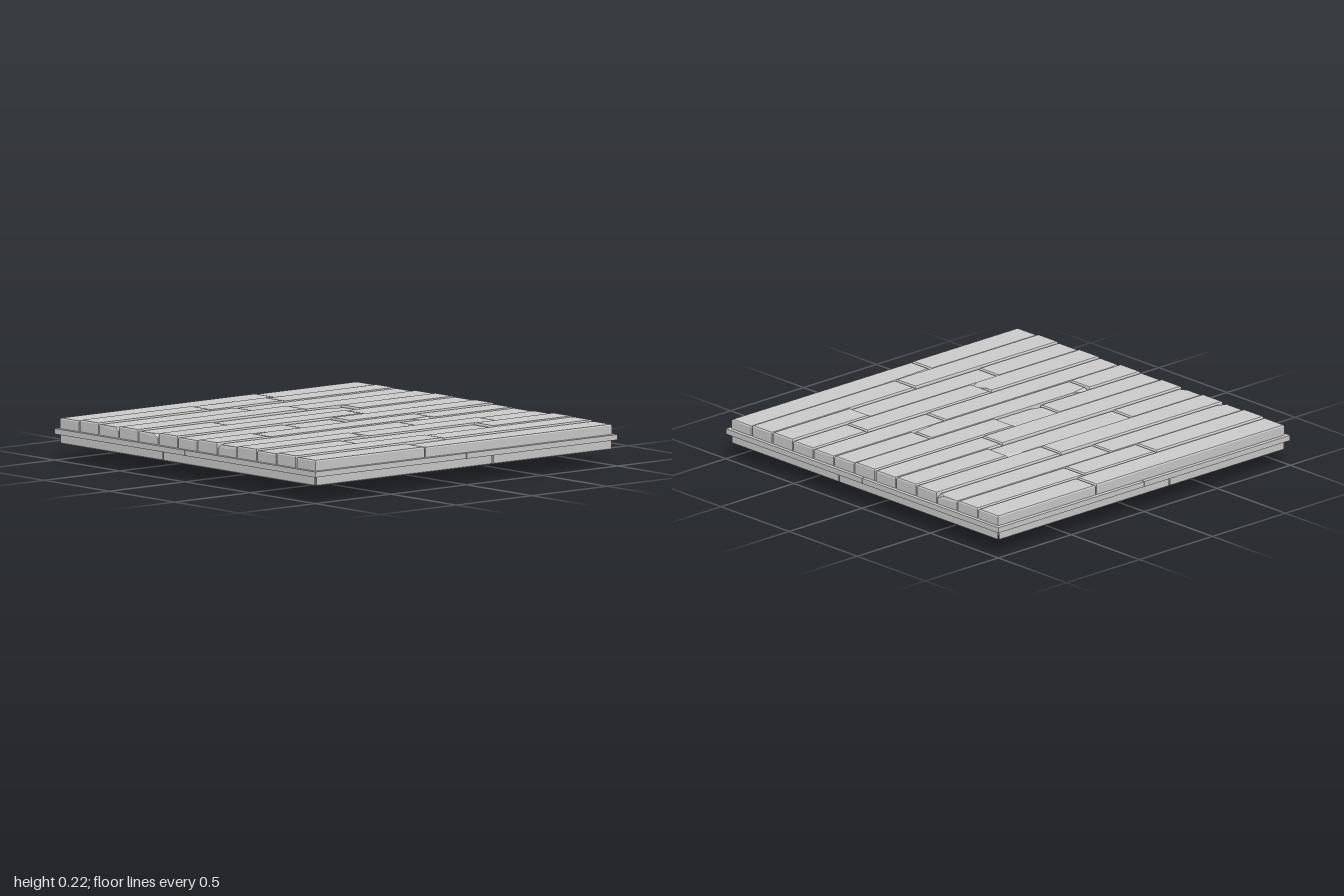
import * as THREE from 'three';

const material = new THREE.MeshStandardMaterial({ color: 0xcccccc, flatShading: true });

// Closed solid from stacked rings (lowest first, counterclockwise seen from above)
function loft(rings) {
  const pos = [];
  const tri = (a, b, c) => pos.push(...a, ...b, ...c);
  const n = rings[0].length;
  for (let r = 0; r + 1 < rings.length; r++) {
    for (let i = 0; i < n; i++) {
      const j = (i + 1) % n, lo = rings[r], hi = rings[r + 1];
      tri(lo[i], lo[j], hi[j]);
      tri(lo[i], hi[j], hi[i]);
    }
  }
  const bottom = rings[0], top = rings[rings.length - 1];
  for (let i = 1; i + 1 < n; i++) {
    tri(bottom[0], bottom[i + 1], bottom[i]);
    tri(top[0], top[i], top[i + 1]);
  }
  const g = new THREE.BufferGeometry();
  g.setAttribute('position', new THREE.Float32BufferAttribute(pos, 3));
  g.computeVertexNormals();
  return g;
}

function add(parent, name, geometry, x = 0, y = 0, z = 0) {
  const mesh = new THREE.Mesh(geometry, material);
  mesh.name = name;
  mesh.position.set(x, y, z);
  parent.add(mesh);
  return mesh;
}

// Floor plank with a bevelled top; chips = { cornerIndex: [along x, along z] }
function floorPlank(x0, x1, z0, z1, y0, y1, chips = {}) {
  const corners = [[x0, z1, 1, -1], [x1, z1, -1, -1], [x1, z0, -1, 1], [x0, z0, 1, 1]];
  const base = [], shoulder = [], top = [];
  const bevel = 0.004;
  corners.forEach(([x, z, sx, sz], i) => {
    const [cx, cz] = chips[i] || [0, 0];
    const alongX = [x + sx * (bevel + cx), y1, z + sz * bevel];
    const alongZ = [x + sx * bevel, y1, z + sz * (bevel + cz)];
    top.push(...(i % 2 ? [alongZ, alongX].reverse() : [alongZ, alongX]));
    const drop = chips[i] ? 0.02 : 0.006;
    for (let k = 0; k < 2; k++) {
      base.push([x, y0, z]);
      shoulder.push([x, y1 - drop, z]);
    }
  });
  return loft([base, shoulder, top]);
}

// Plank of the underside, facing +z, between two distances from the centre
function undersidePlank(za, zb, ya, yb, left, right, yTop) {
  const endX = (end, z, inset) => (end === null ? z - 0.005 - inset : end - 0.004 - inset);
  const ring = (inset, dy, flat) => {
    const a = za + inset, b = zb - inset;
    const xl = z => -endX(left === null ? null : -left, z, inset);
    const xr = z => endX(right, z, inset);
    const y = (v) => (flat ? yTop : v + dy);
    return [[xl(b), y(yb), b], [xr(b), y(yb), b], [xr(a), y(ya), a], [xl(a), y(ya), a]];
  };
  return loft([ring(0.005, 0, false), ring(0, 0.006, false), ring(0, 0, true)]);
}

export function createModel() {
  const model = new THREE.Group();
  model.name = 'plankFloorTile';

  // Core seen through the gaps, and the panel in the underside recess
  add(model, 'core', new THREE.BoxGeometry(1.93, 0.075, 1.93), 0, 0.1375);
  add(model, 'recessPanel', new THREE.BoxGeometry(0.64, 0.03, 0.64), 0, 0.095);

  // Thin rim around the middle, jointed halfway along each side
  const rim = new THREE.Group();
  rim.name = 'rim';
  model.add(rim);
  for (const sx of [-1, 1]) for (const sz of [-1, 1]) {
    add(rim, 'rimQuarter', new THREE.BoxGeometry(0.998, 0.028, 0.998), sx * 0.501, 0.146, sz * 0.501);
  }

  // Floor: rows of planks with staggered joints, back to front
  const floor = new THREE.Group();
  floor.name = 'floorPlanks';
  model.add(floor);
  const joints = [[0.31], [-0.24, 0.25], [-0.08], [0.13], [-0.5, 0.35], [0.25], [-0.285, 0.025],
    [-0.63, 0.45], [0.21], [-0.24, 0.61], [-0.43, 0.45], [0], [-0.255]];
  const chips = {
    '2,0': { 0: [0.05, 0.02] },
    '2,1': { 1: [0.02, 0.04] },
    '4,0': { 0: [0.02, 0.04] },
    '4,1': { 2: [0.1, 0.03] },
    '6,1': { 0: [0.07, 0.02] },
    '7,1': { 3: [0.1, 0.02], 1: [0.14, 0.02] },
    '8,0': { 3: [0.04, 0.02] },
    '9,0': { 1: [0.025, 0.1] },
    '12,1': { 3: [0.3, 0.015] },
  };
  const half = 0.982, pitch = (2 * half) / joints.length;
  joints.forEach((cuts, row) => {
    const z0 = -half + row * pitch;
    const ends = [-half - 0.002, ...cuts, half + 0.002];
    for (let i = 0; i + 1 < ends.length; i++) {
      const height = 0.211 + 0.003 * ((row * 2 + i * 3 + 1) % 4);
      add(floor, 'floorPlank', floorPlank(ends[i] + 0.004, ends[i + 1] - 0.004,
        z0 + 0.004, z0 + pitch - 0.004, 0.15, height, chips[`${row},${i}`]));
    }
  });

  // Underside: four mitred sides of planks sloping down to the recess
  const distances = [0.984, 0.83, 0.68, 0.53, 0.37];
  const heights = [0.082, 0.057, 0.03, 0.009, 0.006];
  const underJoints = [[0.19], [-0.35, 0.3], [0.08], [-0.22]];
  for (let side = 0; side < 4; side++) {
    const group = new THREE.Group();
    group.name = 'undersidePlanks';
    group.rotation.y = side * Math.PI / 2;
    model.add(group);
    const flip = side % 2 ? -1 : 1;
    underJoints.forEach((cuts, row) => {
      const list = cuts.map(c => c * flip).sort((a, b) => a - b);
      const ends = [null, ...list, null];
      for (let i = 0; i + 1 < ends.length; i++) {
        const shift = row ? 0.003 * ((side + row + i) % 3) - 0.006 + (side % 2 ? 0 : 0.004) : 0;
        add(group, 'undersidePlank', undersidePlank(distances[row + 1] + 0.003, distances[row] - 0.003,
          heights[row + 1] + shift, heights[row] + shift, ends[i], ends[i + 1], 0.135));
      }
    });
  }
  return model;
}
